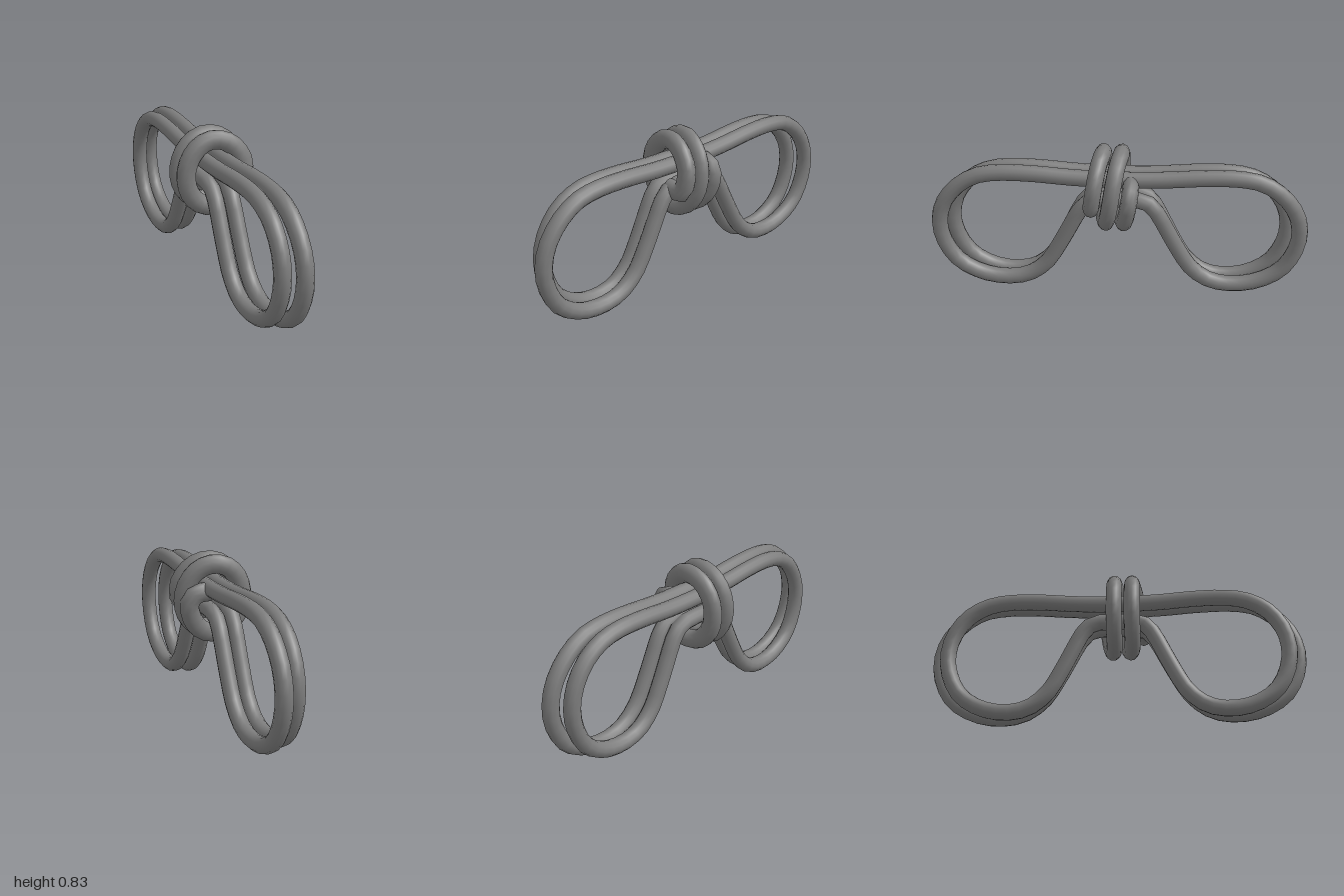
import * as THREE from 'three';

const material = new THREE.MeshStandardMaterial({ color: 0x7c7c7c, side: THREE.DoubleSide });

function tube(name, points, segments, radius, closed) {
  const curve = new THREE.CatmullRomCurve3(points, closed, 'centripetal');
  const mesh = new THREE.Mesh(new THREE.TubeGeometry(curve, segments, radius, 12, closed), material);
  mesh.name = name;
  return mesh;
}

// Half of a strand's centre line as [z, y], from the top middle round to the bottom middle
const halfLoop = [
  [0.10, 0.667], [0.25, 0.673], [0.45, 0.688], [0.62, 0.689], [0.74, 0.668], [0.85, 0.598],
  [0.93, 0.49], [0.957, 0.37], [0.935, 0.25], [0.87, 0.142], [0.75, 0.068], [0.61, 0.044],
  [0.49, 0.068], [0.39, 0.145], [0.315, 0.265], [0.255, 0.38], [0.195, 0.49], [0.14, 0.541], [0.05, 0.55],
];

// Double-ended loop; length shortens it along z, drop lowers its upper run
function strand(name, x, length, drop) {
  const front = halfLoop.map(([z, y]) => new THREE.Vector3(x, y > 0.6 ? y - drop : y, z * length));
  const back = front.map((p) => new THREE.Vector3(p.x, p.y, -p.z)).reverse();
  return tube(name, [...front, ...back], 80, 0.043, true);
}

// Two-turn wrap: level round its left half, stepping along z on its right half
function wrap() {
  const flatten = 0.83;
  const points = [new THREE.Vector3(0.04, 0.54, 0.137), new THREE.Vector3(0.13, 0.543, 0.136)];
  for (let i = 1; i <= 40; i++) {
    const u = i / 20;
    const turn = Math.min(Math.floor(u), 1);
    const f = u - turn - 0.5;
    const step = Math.sign(f) * Math.max(0, Math.abs(f) - 0.23) / 0.27 * 0.0475;
    const a = u * Math.PI * 2;
    points.push(new THREE.Vector3(
      0.157 * Math.cos(a), 0.594 + 0.184 * Math.sin(a), 0.081 - 0.095 * turn - step));
  }
  // Tail tucks into the bundle
  points.push(new THREE.Vector3(0.125, 0.64, -0.067), new THREE.Vector3(0.05, 0.65, -0.067));
  for (const p of points) p.z /= flatten;
  const mesh = tube('wrap', points, 56, 0.052, false);
  mesh.scale.z = flatten;
  return mesh;
}

export function createModel() {
  const group = new THREE.Group();
  group.name = 'tiedCableBundle';
  group.add(strand('leftStrand', 0.048, 1, 0), strand('rightStrand', -0.04, 0.942, 0.008), wrap());
  return group;
}
